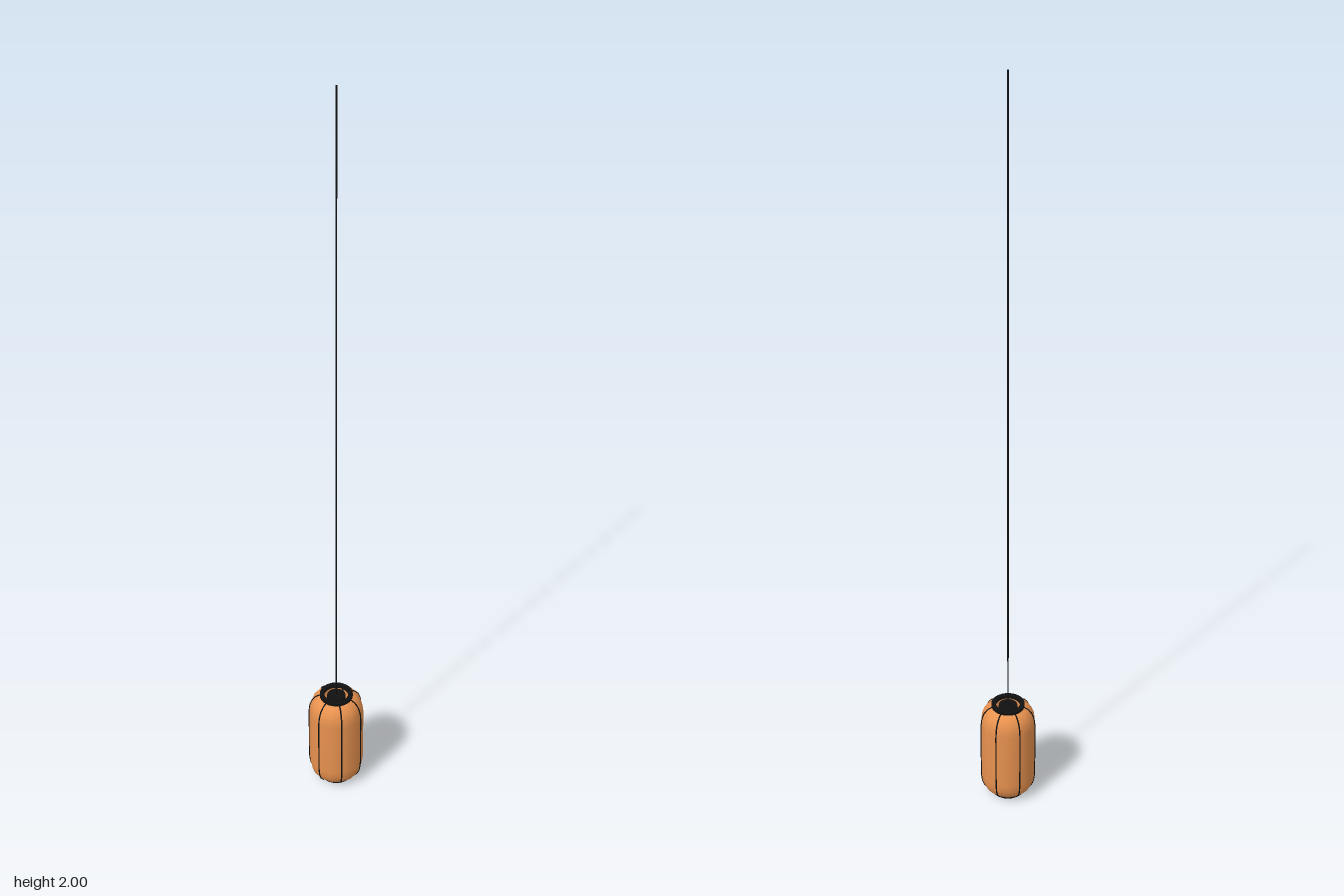
import * as THREE from 'three';

const SIDES = 14, RIBS = 7;

export function createModel() {
  const lantern = new THREE.Group();
  lantern.name = 'hangingLantern';
  const paper = new THREE.MeshStandardMaterial({ color: 0xe8924f, side: THREE.DoubleSide });
  const black = new THREE.MeshStandardMaterial({ color: 0x111111 });

  const add = (name, geometry, material, y = 0) => {
    const mesh = new THREE.Mesh(geometry, material);
    mesh.name = name;
    mesh.position.y = y;
    lantern.add(mesh);
    return mesh;
  };

  // Half outline of the shade, mirrored about its mid height
  const mid = 0.146;
  const lower = [[0.042, 0.006], [0.055, 0.012], [0.066, 0.025], [0.072, 0.042], [0.0745, 0.065]];
  const profile = [...lower, ...lower.map(([r, y]) => [r, 2 * mid - y]).reverse()]
    .map(([r, y]) => new THREE.Vector2(r, y));

  // Open paper shade, with corners lined up under the ribs
  add('paperShade', new THREE.LatheGeometry(profile, SIDES, Math.PI / 2), paper);

  // Thin wire ribs following the outline
  const path = new THREE.CurvePath();
  for (let i = 1; i < profile.length; i++) {
    const [a, b] = [profile[i - 1], profile[i]];
    path.add(new THREE.LineCurve3(new THREE.Vector3(a.x, a.y, 0), new THREE.Vector3(b.x, b.y, 0)));
  }
  const ribGeometry = new THREE.TubeGeometry(path, 40, 0.002, 6);
  for (let i = 0; i < RIBS; i++) {
    add('rib', ribGeometry, black).rotation.y = Math.PI + (i * 2 * Math.PI) / RIBS;
  }

  // Flat rings around the two openings
  const band = [[0.033, 0], [0.045, 0], [0.045, 0.009], [0.033, 0.009], [0.033, 0]]
    .map(([r, y]) => new THREE.Vector2(r, y));
  // Separate strips keep the ring edges sharp
  for (const [name, y] of [['bottomRing', 0], ['topRing', 0.283]]) {
    for (let i = 1; i < band.length; i++) {
      add(name, new THREE.LatheGeometry([band[i - 1], band[i]], 28), black, y);
    }
  }

  // Lamp socket hanging in the upper opening
  add('socket', new THREE.CylinderGeometry(0.025, 0.025, 0.05, 20), black, 0.262);

  // Long suspension cable
  const bottom = 0.285;
  add('cable', new THREE.CylinderGeometry(0.002, 0.002, 2 - bottom, 8), black, (2 + bottom) / 2);

  return lantern;
}
